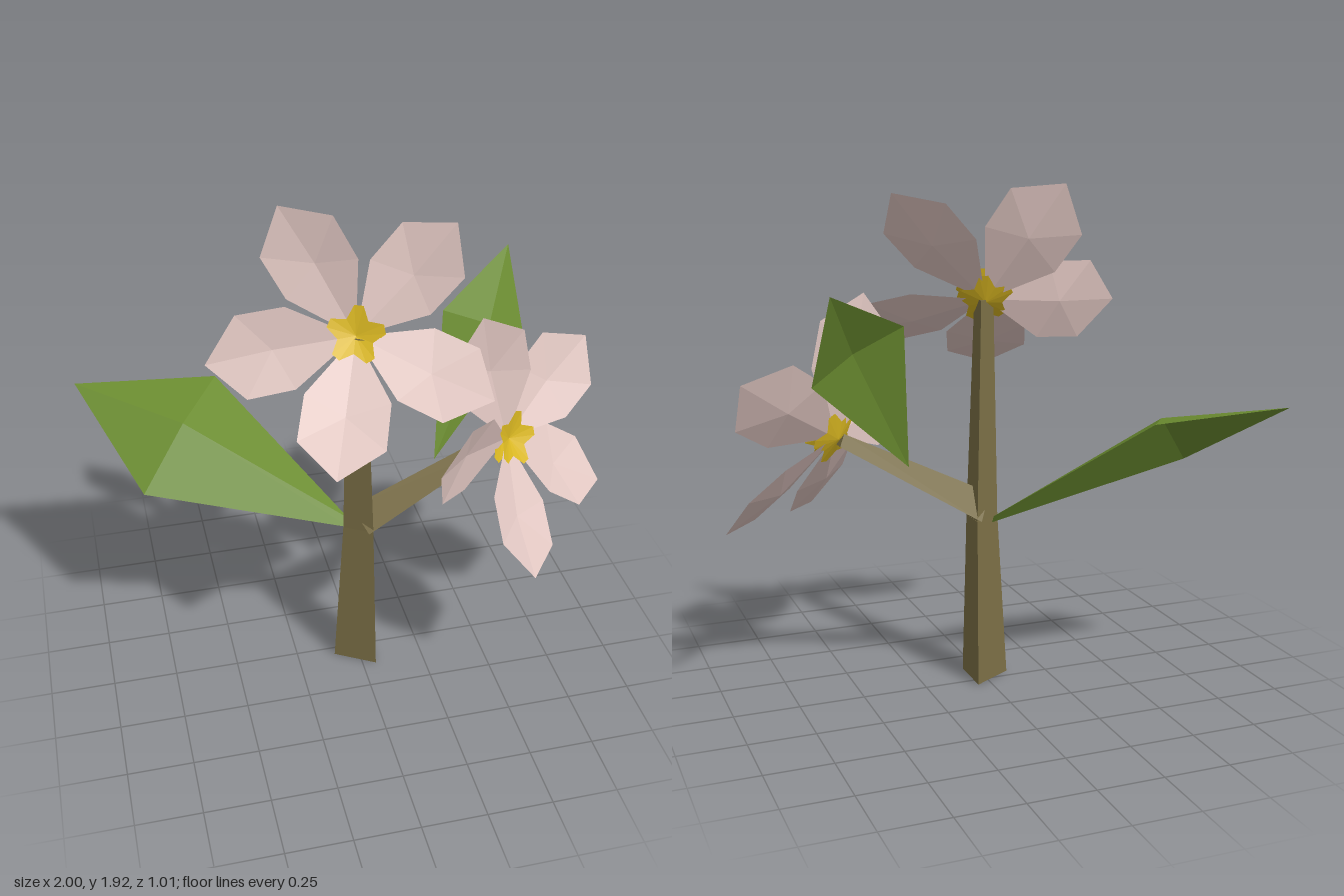
import * as THREE from 'three';

const mat = (name, color, side) => {
  const m = new THREE.MeshStandardMaterial({ color, flatShading: true, side });
  m.name = name;
  return m;
};
const V = (p) => new THREE.Vector3(...p);

// Triangle fan: joins a middle point to a closed outline
function fan(middle, outline) {
  const pos = [];
  outline.forEach((p, i) => {
    const q = outline[(i + 1) % outline.length];
    pos.push(...middle, ...p, ...q);
  });
  const g = new THREE.BufferGeometry();
  g.setAttribute('position', new THREE.Float32BufferAttribute(pos, 3));
  g.computeVertexNormals();
  return g;
}

// Petal from the origin to tip, spread along side and slightly cupped
function petal(tip, side) {
  const t = V(tip), s = V(side).normalize();
  const n = t.clone().cross(s).normalize();
  const at = (along, across, lift = 0) =>
    t.clone().multiplyScalar(along).addScaledVector(s, across).addScaledVector(n, lift).toArray();
  return fan(at(0.55, 0, -0.025), [
    at(0, 0), at(0.44, -0.153), at(0.765, -0.155), at(1, 0), at(0.765, 0.155), at(0.44, 0.153),
  ]);
}

// Five-lobed shallow cone with blunt lobes between the petals
function starCone(slope) {
  const outline = [];
  for (let i = 0; i < 5; i++) {
    for (const [deg, r] of [[0, 0.066], [27, 0.106], [45, 0.106]]) {
      const a = ((i * 72 + deg) * Math.PI) / 180;
      outline.push([r * Math.cos(a), r * Math.sin(a), r * slope]);
    }
  }
  return fan([0, 0, 0], outline);
}

export function createModel() {
  const group = new THREE.Group();
  const wood = mat('bark', 0x7a6e45, THREE.FrontSide);
  const green = mat('leaf green', 0x6b8c30, THREE.DoubleSide);
  const pink = mat('petal pink', 0xe0c6c1, THREE.DoubleSide);
  const yellow = mat('pollen yellow', 0xd8b621, THREE.DoubleSide);

  const add = (parent, name, geometry, material) => {
    const mesh = new THREE.Mesh(geometry, material);
    mesh.name = name;
    parent.add(mesh);
    return mesh;
  };

  // Three-sided tapering stalk between two points
  function stalk(name, from, r0, to, r1) {
    const a = V(from), b = V(to), d = b.clone().sub(a);
    const g = new THREE.CylinderGeometry(r1, r0, d.length(), 3, 1, false, -Math.PI / 2);
    const m = add(group, name, g, wood);
    m.position.copy(a).add(b).multiplyScalar(0.5);
    m.quaternion.setFromUnitVectors(new THREE.Vector3(0, 1, 0), d.normalize());
  }
  stalk('lowerStem', [0.002, 0, 0.04], 0.102, [0.01, 0.65, 0.04], 0.07);
  stalk('upperStem', [0.01, 0.65, 0.04], 0.07, [-0.003, 1.49, 0.045], 0.042);
  stalk('branch', [0.01, 0.68, 0.04], 0.074, [0.555, 0.99, 0.055], 0.032);

  // Folded leaves: a raised middle inside a kite outline
  add(group, 'leftLeaf', fan([-0.62, 1.045, -0.23], [
    [-0.03, 0.66, 0], [-0.456, 1.083, -0.485], [-1, 1.11, -0.51], [-0.8, 0.84, -0.09], [-0.03, 0.63, 0.02],
  ]), green);
  add(group, 'rightLeaf', fan([0.565, 1.35, -0.175], [
    [0.31, 0.885, 0], [0.725, 1.25, -0.222], [0.693, 1.577, -0.375], [0.375, 1.437, -0.167],
  ]), green);

  // Flower: each petal is [tip, side direction]; the star faces along facing
  function flower(name, centre, facing, petals) {
    const f = new THREE.Group();
    f.name = name;
    f.position.set(...centre);
    for (const [tip, side] of petals) add(f, 'petal', petal(tip, side), pink);

    const z = V(facing).normalize();
    const x = V(petals[0][0]);
    x.addScaledVector(z, -x.dot(z)).normalize();
    const turn = new THREE.Matrix4().makeBasis(x, z.clone().cross(x), z);
    for (const [part, slope, lift] of [['flowerCentre', 0.38, 0.012], ['flowerBase', 0.24, -0.018]]) {
      const star = add(f, part, starCone(slope), yellow);
      star.quaternion.setFromRotationMatrix(turn);
      star.position.copy(z).multiplyScalar(lift);
    }
    group.add(f);
  }
  flower('topFlower', [-0.01, 1.49, 0.04], [-0.22, 0.53, 0.82], [
    [[-0.546, -0.025, 0.035], [0.065, -0.97, 0.22]],
    [[-0.17, -0.31, 0.43], [0.945, -0.08, 0.305]],
    [[0.415, -0.132, 0.33], [0.6, 0.55, -0.6]],
    [[0.36, 0.397, 0], [-0.516, 0.38, -0.77]],
    [[-0.23, 0.43, -0.21], [-0.81, -0.55, -0.26]],
  ]);
  flower('sideFlower', [0.565, 1.0, 0.09], [0.55, 0.34, 0.76], [
    [[-0.12, 0.53, 0], [-0.94, -0.22, 0.25]],
    [[-0.375, 0.134, 0.38], [-0.33, -0.93, 0.03]],
    [[-0.005, -0.353, 0.415], [0.8, -0.45, -0.4]],
    [[0.43, -0.31, -0.07], [0.24, 0.45, -0.87]],
    [[0.39, 0.262, -0.245], [-0.65, 0.75, -0.16]],
  ]);

  return group;
}
